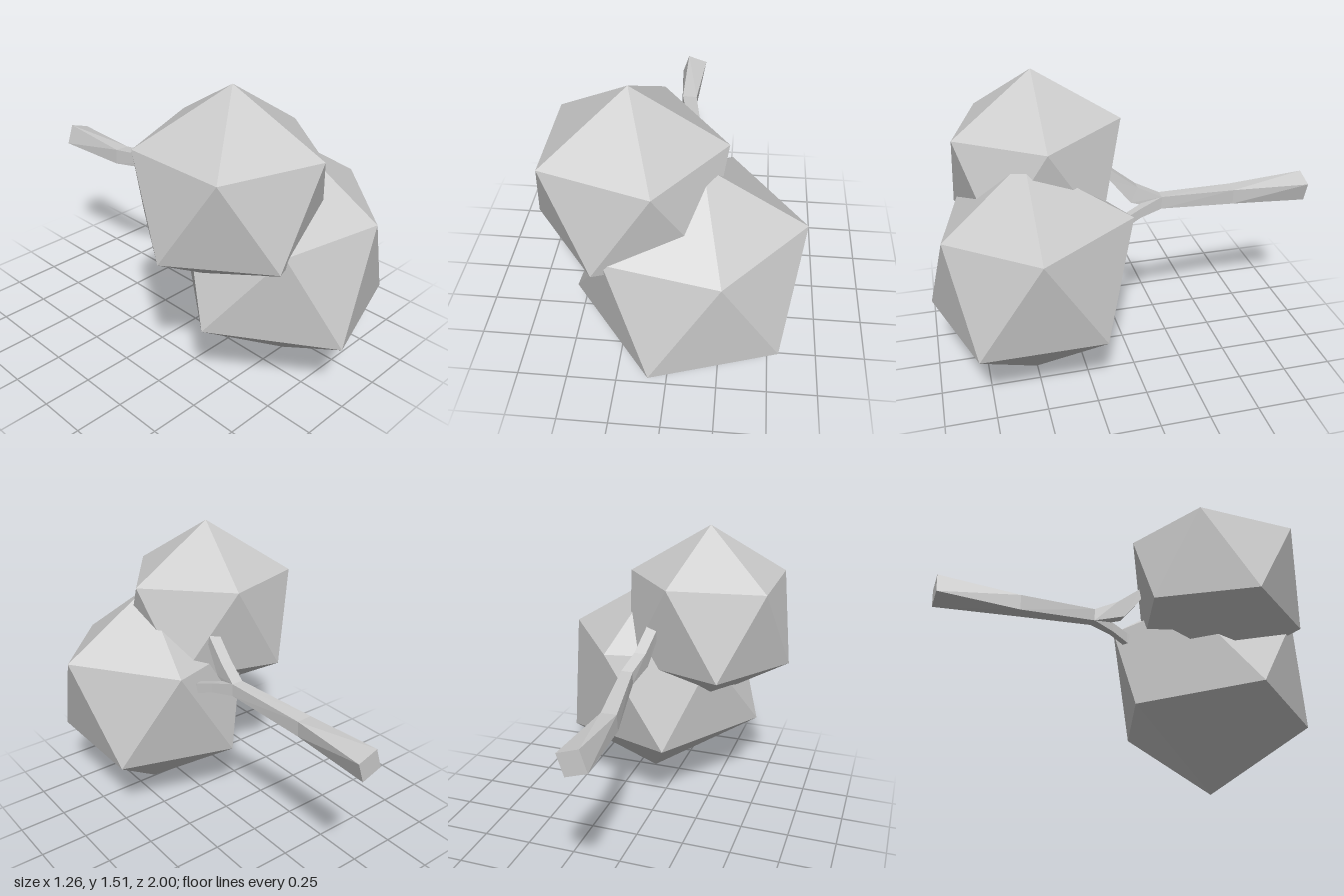
import * as THREE from 'three';
import { ConvexGeometry } from 'three/addons/geometries/ConvexGeometry.js';

const material = new THREE.MeshStandardMaterial({ color: 0xcccccc, flatShading: true });

function addMesh(group, name, geometry) {
  const mesh = new THREE.Mesh(geometry, material);
  mesh.name = name;
  group.add(mesh);
}

// Faceted twenty-sided ball, given by its two poles and two rings of five corners
function facetedBall(corners) {
  return new ConvexGeometry(corners.map(c => new THREE.Vector3(...c)));
}

// Four corners of an upright square section: top left, top right, bottom right, bottom left
// z may differ between the top and bottom edges so that the section can lean
function section(x0, x1, yTop, yBottom, zTop, zBottom = zTop) {
  return [[x0, yTop, zTop], [x1, yTop, zTop], [x1, yBottom, zBottom], [x0, yBottom, zBottom]];
}

// Closed four-sided limb running through sections ordered from back to front
function limb(sections) {
  const pos = [];
  const quad = (a, b, c, d) => pos.push(...a, ...b, ...c, ...a, ...c, ...d);
  for (let s = 0; s < sections.length - 1; s++) {
    const a = sections[s], b = sections[s + 1];
    for (let i = 0; i < 4; i++) {
      const j = (i + 1) % 4;
      quad(a[i], b[i], b[j], a[j]);
    }
  }
  quad(...sections[0]);
  quad(...[...sections[sections.length - 1]].reverse());
  const geometry = new THREE.BufferGeometry();
  geometry.setAttribute('position', new THREE.Float32BufferAttribute(pos, 3));
  geometry.computeVertexNormals();
  return geometry;
}

export function createModel() {
  const model = new THREE.Group();
  model.name = 'leafyBranch';

  // Foliage
  addMesh(model, 'lowerFoliage', facetedBall([
    [0.15, 0.0, 0.505], [0.15, 1.18, 0.505],
    [0.53, 0.36, 0.81], [-0.05, 0.36, 1.0], [-0.455, 0.41, 0.505], [-0.05, 0.36, 0.01], [0.53, 0.36, 0.2],
    [0.63, 0.88, 0.505], [0.26, 0.855, 0.92], [-0.26, 0.85, 0.81], [-0.26, 0.85, 0.2], [0.27, 0.88, 0.01],
  ]));
  addMesh(model, 'upperFoliage', facetedBall([
    [-0.18, 0.54, 0.41], [-0.18, 1.51, 0.41],
    [-0.63, 0.8, 0.41], [-0.31, 0.795, 0.83], [0.18, 0.8, 0.67], [0.18, 0.8, 0.15], [-0.34, 0.8, -0.01],
    [-0.54, 1.235, 0.155], [-0.54, 1.235, 0.67], [-0.04, 1.23, 0.82], [0.26, 1.235, 0.41], [-0.07, 1.26, -0.01],
  ]));

  // Bough, flared and slightly twisted at its cut end
  const joint = section(0.04, 0.10, 0.885, 0.82, -0.18);
  addMesh(model, 'bough', limb([
    [[-0.035, 0.88, -1], [0.07, 0.845, -1], [0.035, 0.74, -1], [-0.07, 0.775, -1]],
    [[-0.036, 0.85, -0.59], [0.042, 0.847, -0.59], [0.038, 0.767, -0.59], [-0.04, 0.768, -0.59]],
    joint,
  ]));

  // Twigs forking into the two foliage balls
  addMesh(model, 'upperTwig', limb([
    joint,
    section(0.015, 0.075, 0.94, 0.86, -0.06, -0.025),
    section(-0.005, 0.055, 1.035, 0.99, 0.065, 0.08),
    section(-0.02, 0.035, 1.1, 1.05, 0.15, 0.17),
  ]));
  addMesh(model, 'lowerTwig', limb([
    joint,
    section(0.09, 0.135, 0.85, 0.8, -0.06),
    section(0.12, 0.165, 0.82, 0.765, 0.03),
    section(0.14, 0.185, 0.79, 0.735, 0.12),
  ]));

  return model;
}
